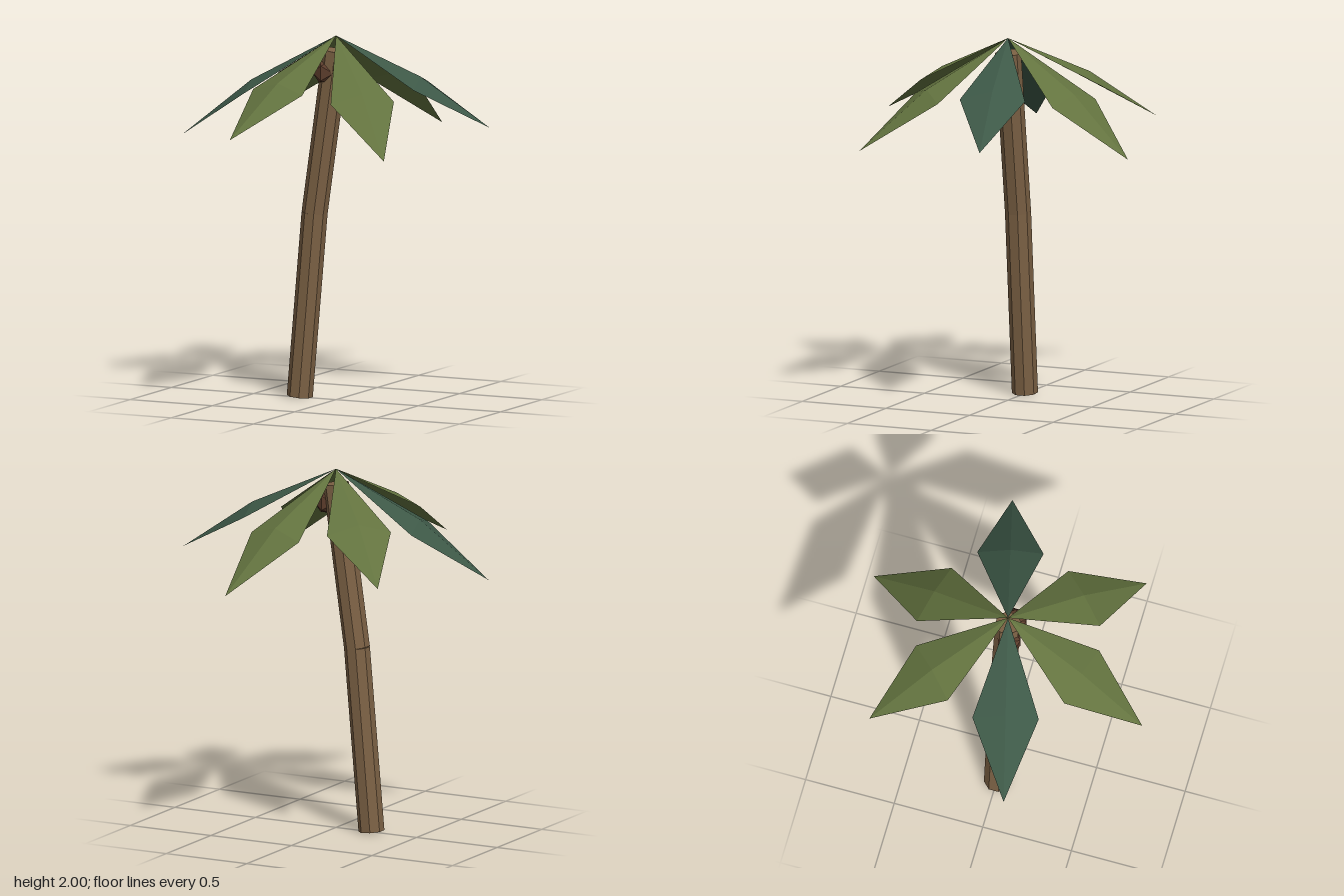
import * as THREE from 'three';

const mat = (color, side = THREE.FrontSide) =>
  new THREE.MeshStandardMaterial({ color, flatShading: true, side });

// Straight octagonal log between two points
function log(name, from, to, radius, material) {
  const axis = to.clone().sub(from);
  const geo = new THREE.CylinderGeometry(radius, radius, axis.length(), 8);
  geo.rotateY(Math.PI / 8);
  const mesh = new THREE.Mesh(geo, material);
  mesh.name = name;
  mesh.position.copy(from).add(to).multiplyScalar(0.5);
  mesh.quaternion.setFromUnitVectors(new THREE.Vector3(0, 1, 0), axis.normalize());
  return mesh;
}

// Folded kite along +x: root, side corners, raised ridge, tip
function frondGeometry(drop) {
  const root = [0, 0, 0], tip = [0.856, -0.48 - drop, 0];
  const ridge = [0.47, -0.21 - drop / 2, 0];
  const near = [0.47, -0.26 - drop / 2, 0.18], far = [0.47, -0.26 - drop / 2, -0.18];
  const corners = [root, near, ridge, root, ridge, far, ridge, near, tip, ridge, tip, far];
  const geo = new THREE.BufferGeometry();
  geo.setAttribute('position', new THREE.Float32BufferAttribute(corners.flat(), 3));
  geo.computeVertexNormals();
  return geo;
}

export function createModel() {
  const tree = new THREE.Group();
  tree.name = 'palmTree';

  // Trunk in two leaning pieces
  const bark = mat(0x7d6245);
  const base = new THREE.Vector3(-0.22, 0.007, 0);
  const bend = new THREE.Vector3(-0.13, 1.02, 0);
  const top = new THREE.Vector3(0, 1.92, 0);
  tree.add(log('lowerTrunk', base, bend, 0.071, bark));
  tree.add(log('upperTrunk', bend, top, 0.071, bark));

  // Coconuts beside the trunk top
  const shell = mat(0x5c3d2c);
  for (const [x, y, z] of [[0.065, 1.81, 0.02], [-0.05, 1.8, 0.02]]) {
    const nut = new THREE.Mesh(new THREE.IcosahedronGeometry(0.077, 0), shell);
    nut.name = 'coconut';
    nut.position.set(x, y, z);
    tree.add(nut);
  }

  // Six fronds, alternately higher and lower
  const olive = mat(0x63733f, THREE.DoubleSide);
  const teal = mat(0x3d5847, THREE.DoubleSide);
  const shapes = [frondGeometry(0), frondGeometry(0.09)];
  for (let i = 0; i < 6; i++) {
    const frond = new THREE.Mesh(shapes[i % 2], i % 3 === 0 ? teal : olive);
    frond.name = 'frond';
    frond.position.y = 2;
    frond.rotation.y = THREE.MathUtils.degToRad(14.3 - 60 * i);
    tree.add(frond);
  }
  return tree;
}
